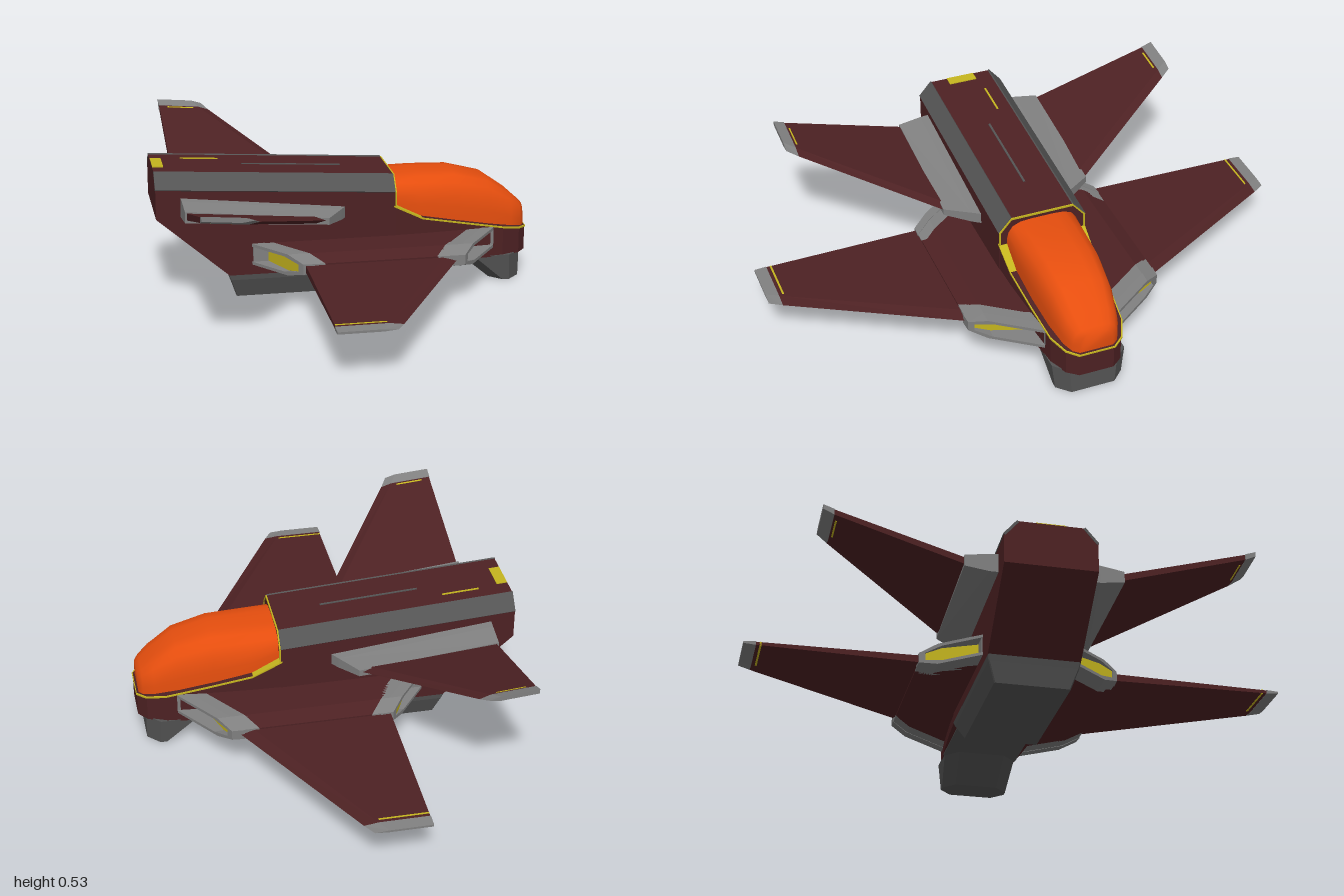
import * as THREE from 'three';
import { toCreasedNormals } from 'three/addons/utils/BufferGeometryUtils.js';

const mat = (name, color) => {
  const m = new THREE.MeshStandardMaterial({ color });
  m.name = name;
  return m;
};

// Skin a list of equal-length rings of [x, y, z]; ends are capped with fans, or joined when closed.
function loft(rings, closed = false) {
  const tris = [], n = rings[0].length, last = rings.length - 1;
  for (let r = 0; r < rings.length - (closed ? 0 : 1); r++) {
    const a = rings[r], b = rings[(r + 1) % rings.length];
    for (let i = 0; i < n; i++) {
      const j = (i + 1) % n;
      tris.push([a[i], b[i], b[j]], [a[i], b[j], a[j]]);
    }
  }
  if (!closed) for (let i = 1; i < n - 1; i++) {
    tris.push([rings[0][0], rings[0][i], rings[0][i + 1]]);
    tris.push([rings[last][0], rings[last][i + 1], rings[last][i]]);
  }
  // make the faces point outward
  const vol = ([a, b, c]) => a[0] * (b[1] * c[2] - b[2] * c[1])
    + a[1] * (b[2] * c[0] - b[0] * c[2]) + a[2] * (b[0] * c[1] - b[1] * c[0]);
  const flip = tris.reduce((s, t) => s + vol(t), 0) < 0;
  const pos = tris.flatMap(([a, b, c]) => (flip ? [a, c, b] : [a, b, c])).flat();
  const g = new THREE.BufferGeometry();
  g.setAttribute('position', new THREE.Float32BufferAttribute(pos, 3));
  g.computeVertexNormals();
  return g;
}

export function createModel() {
  const model = new THREE.Group();
  const maroon = mat('maroon hull', 0x4d2123);
  const grey = mat('light grey trim', 0x808080);
  const dark = mat('dark grey armour', 0x545454);
  const orange = mat('orange canopy', 0xe64e0e);
  const yellow = mat('yellow glow', 0xc4b41e);
  const add = (name, geo, material) => {
    const m = new THREE.Mesh(geo, material);
    m.name = name;
    model.add(m);
    return m;
  };

  // fuselage: chamfered box section with a raked tail
  const hull = (x, bot, sh, top, e = 0) => [
    [bot, 0.168 + e], [sh, 0.168 + e], [top + e, 0.12], [top + e, -0.12], [sh, -0.168 - e], [bot, -0.168 - e],
  ].map(([y, z]) => [x, y, z]);
  add('fuselage', loft([
    hull(-0.703, 0.33, 0.44, 0.495), hull(-0.44, 0.10, 0.424, 0.479), hull(0.18, 0.10, 0.385, 0.44),
  ]), maroon);

  // nose: [x, half width, sill height]
  const nose = [[0.17, 0.166, 0.335], [0.28, 0.162, 0.28], [0.45, 0.15, 0.247],
    [0.60, 0.135, 0.217], [0.67, 0.105, 0.203], [0.702, 0.065, 0.196]];
  const noseRing = (x, w, y0, y1) => [[x, y0, w], [x, y1, w], [x, y1, -w], [x, y0, -w]];
  add('nose', loft(nose.map(([x, w, y]) => noseRing(x, w, 0.10, y))), maroon);
  add('canopyRim', loft(nose.map(([x, w, y]) =>
    noseRing(x + 0.003, w + 0.004, y - 0.007, y - 0.001))), yellow);

  // yellow arch behind the canopy
  const arch = (x, e) => hull(x, 0.33, 0.385, 0.44, e);
  add('canopyArch', loft([arch(0.178, 0.001), arch(0.183, 0.001), arch(0.183, -0.006), arch(0.178, -0.006)], true), yellow);

  // canopy: [x, half width, bottom, top]
  const canopy = [[0.175, 0.138, 0.32, 0.42], [0.28, 0.140, 0.27, 0.423], [0.42, 0.135, 0.24, 0.42],
    [0.55, 0.122, 0.215, 0.388], [0.64, 0.104, 0.20, 0.325], [0.68, 0.085, 0.195, 0.288], [0.695, 0.063, 0.19, 0.275]];
  const half = [[1, 0], [1, 0.35], [0.96, 0.6], [0.84, 0.84], [0.62, 0.97], [0.3, 1]];
  const dome = [...half, ...half.map(([z, y]) => [-z, y]).reverse()];
  add('canopy', toCreasedNormals(loft(canopy.map(([x, w, b, t]) =>
    dome.map(([z, y]) => [x, b + (t - b) * y, w * z]))), 0.9), orange);

  // belly block and chin block, skinned upward from plans with clipped corners
  const plan = (y, x0, x1, w, c) => [[x0, w - c], [x0 + c, w], [x1 - c, w], [x1, w - c],
    [x1, c - w], [x1 - c, -w], [x0 + c, -w], [x0, c - w]].map(([x, z]) => [x, y, z]);
  add('belly', loft([plan(0.008, -0.412, 0.107, 0.138, 0.004), plan(0.08, -0.437, 0.167, 0.164, 0.004),
    plan(0.102, -0.445, 0.185, 0.168, 0.004)]), dark);
  add('chin', loft([plan(0.003, 0.56, 0.675, 0.128, 0.045), plan(0.105, 0.44, 0.675, 0.14, 0.05)]), dark);
  add('bellyPlate', loft([plan(0.097, 0.17, 0.50, 0.145, 0.004), plan(0.103, 0.17, 0.50, 0.145, 0.004)]), dark);

  // seam, light and stripe lying on the sloping top
  const topPlate = (name, x, z, length, width, material) => {
    const p = add(name, new THREE.BoxGeometry(length, 0.006, width), material);
    p.position.set(x, 0.495 - (x + 0.70) * 0.0625, z);
    p.rotation.z = -Math.atan(0.0625);
  };
  topPlate('spineSeam', -0.185, 0, 0.37, 0.008, dark);
  topPlate('tailLight', -0.682, 0, 0.04, 0.11, yellow);
  topPlate('spineStripe', -0.52, -0.065, 0.14, 0.007, yellow);

  // pod cross-section: [z, y]; its ends are slanted in plan
  const podSection = [[0.14, 0.218], [0.31, 0.218], [0.37, 0.197], [0.37, 0.159], [0.31, 0.138], [0.14, 0.138]];
  const mix = (a, b, t) => a + (b - a) * t;
  const slant = (root, tip) => (z) => mix(root, tip, (z - 0.17) / 0.2);
  const podFront = slant(0.54, 0.395), podRear = slant(-0.355, -0.20);

  for (const [side, s] of [['left', 1], ['right', -1]]) {
    const part = (name, rings, material) =>
      add(side + name, loft(rings.map((r) => r.map(([x, y, z]) => [x, y, z * s]))), material);

    // grey shoulder strip over the chamfer
    const strip = (x, y) => [[x, y, 0.171], [x, y + 0.057, 0.122], [x, y + 0.05, 0.115], [x, y - 0.007, 0.164]];
    part('ShoulderStrip', [strip(-0.704, 0.442), strip(0.178, 0.387)], dark);

    // engine pod with deep framed openings that run in to the fuselage side
    const pod = (end, offset, k = 1) => podSection.map(([z, y]) => {
      const zz = mix(0.14, z, mix(1, k, 0.3));
      return [end(zz) + offset, mix(0.178, y, k), zz];
    });
    part('Pod', [pod(podRear, 0.08), pod(podFront, -0.10)], maroon);
    for (const [name, end, floor, d] of [
      ['Intake', podFront, slant(0.455, 0.385), -1], ['Exhaust', podRear, slant(-0.295, -0.20), 1]]) {
      part(name + 'Frame', [pod(end, d * 0.105), pod(end, d * 0.045), pod(end, d * 0.045, 1.04),
        pod(end, 0), pod(end, 0, 0.72), pod(floor, 0, 0.70)], grey);
      part(name + 'Glow', [pod(floor, -d * 0.003, 0.68), pod(floor, d * 0.003, 0.68)], yellow);
    }
    const liner = add(side + 'ExhaustLiner', new THREE.BoxGeometry(0.075, 0.056, 0.008), grey);
    liner.position.set(-0.315, 0.178, 0.168 * s);

    // main wing: section is [leading x, trailing x, half thickness] at span z
    const wing = (z, xf, xb, t) => [[xf, 0], [xf - 0.05, t], [xb, t], [xb, -t], [xf - 0.05, -t]]
      .map(([x, y]) => [x, 0.178 + y, z]);
    part('Wing', [wing(0.33, 0.385, -0.19, 0.014), wing(0.955, 0.04, -0.19, 0.006)], maroon);
    part('WingTip', [wing(0.955, 0.04, -0.192, 0.007), wing(1.0, 0.012, -0.192, 0.004)], grey);
    part('WingStripe', [wing(0.935, 0.03, -0.19, 0.0075), wing(0.942, 0.026, -0.19, 0.0075)], yellow);

    // canted tail fin on a blunt grey mount, pitched slightly nose down
    const pitch = (z, y, pts) => pts.map(([x, dy]) => [x, y + dy - 0.085 * (x + 0.6), z]);
    const mount = (z, y, xf, xb, t) => pitch(z, y, [[xf, t * 0.6], [xb, t], [xb, -t], [xf, -t * 0.6]]);
    const fin = (z, y, xf, xb, t) =>
      pitch(z, y, [[xf, 0], [xf - 0.04, t], [xb, t], [xb, -t], [xf - 0.04, -t]]);
    part('FinMount', [mount(0.15, 0.37, 0.0, -0.615, 0.036), mount(0.20, 0.37, -0.03, -0.612, 0.034),
      mount(0.288, 0.37, -0.09, -0.61, 0.021)], grey);
    part('Fin', [fin(0.27, 0.368, -0.09, -0.603, 0.013), fin(0.745, 0.508, -0.405, -0.603, 0.01)], maroon);
    part('FinTip', [fin(0.745, 0.508, -0.405, -0.605, 0.011), fin(0.785, 0.524, -0.43, -0.605, 0.009)], grey);
    part('FinStripe', [fin(0.732, 0.504, -0.43, -0.57, 0.0112), fin(0.738, 0.506, -0.43, -0.57, 0.0112)], yellow);
  }
  return model;
}
